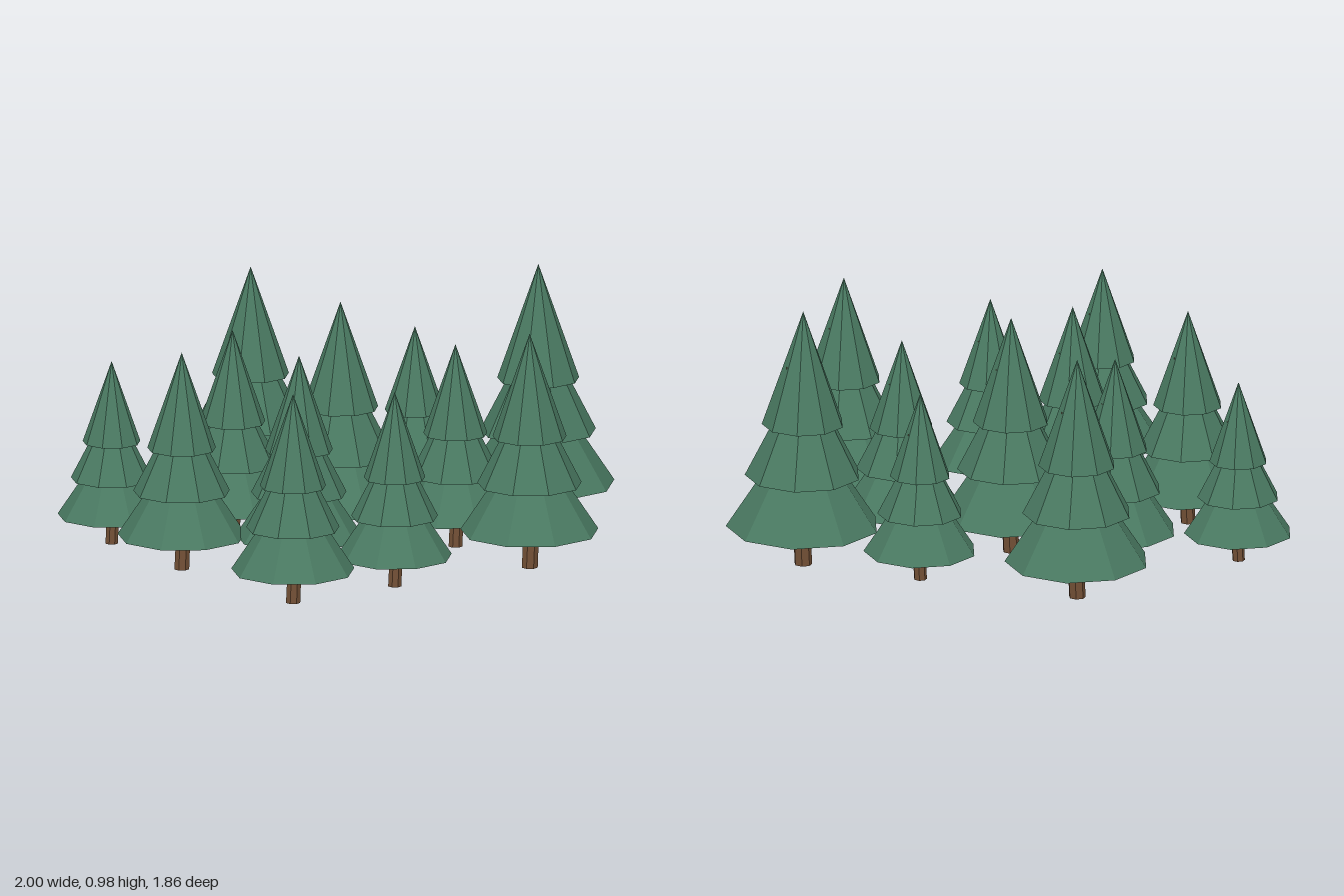
import * as THREE from 'three';

const needles = new THREE.MeshStandardMaterial({ color: 0x4a7a62, flatShading: true });
needles.name = 'needle green';
const bark = new THREE.MeshStandardMaterial({ color: 0x735036, flatShading: true });
bark.name = 'bark brown';

// Each tree: x, z, height
const TREES = [
  [-0.675, -0.61, 0.69], [0.055, -0.665, 0.92], [-0.28, -0.385, 0.785],
  [-0.745, -0.14, 0.82], [-0.015, -0.085, 0.905], [0.438, -0.185, 0.72],
  [-0.425, 0.15, 0.81], [0.245, 0.26, 0.765], [0.715, 0.188, 0.98],
  [-0.78, 0.52, 0.79], [-0.33, 0.575, 0.735], [0.235, 0.685, 0.885],
];

// Foliage tiers of a tree of height 1: base height, radius, cone height
const TIERS = [
  [0.153, 0.291, 0.44],
  [0.355, 0.22, 0.43],
  [0.556, 0.156, 0.444],
];

// Seven-sided trunk leaning slightly toward +x inside the foliage
function trunkGeometry() {
  const height = 0.79, lean = 0.043 / height;
  const geo = new THREE.CylinderGeometry(0.03, 0.034, height, 7);
  geo.rotateY(Math.PI / 2);
  geo.translate(0, height / 2, 0);
  geo.applyMatrix4(new THREE.Matrix4().set(
    1, lean, 0, 0,
    0, 1, 0, 0,
    0, 0, 1, 0,
    0, 0, 0, 1));
  return geo;
}

// Nine-sided cone with a corner toward the back
function tierGeometry([base, radius, height]) {
  const geo = new THREE.ConeGeometry(radius, height, 9);
  geo.rotateY(Math.PI);
  geo.translate(0, base + height / 2, 0);
  return geo;
}

export function createModel() {
  const forest = new THREE.Group();
  forest.name = 'forest';
  const trunkGeo = trunkGeometry();
  const tierGeos = TIERS.map(tierGeometry);

  for (const [x, z, height] of TREES) {
    const tree = new THREE.Group();
    tree.name = 'pineTree';
    const trunk = new THREE.Mesh(trunkGeo, bark);
    trunk.name = 'trunk';
    tree.add(trunk);
    tierGeos.forEach((geo, i) => {
      const tier = new THREE.Mesh(geo, needles);
      tier.name = ['lowerFoliage', 'middleFoliage', 'upperFoliage'][i];
      tree.add(tier);
    });
    tree.position.set(x, 0, z);
    tree.scale.setScalar(height);
    forest.add(tree);
  }
  return forest;
}
